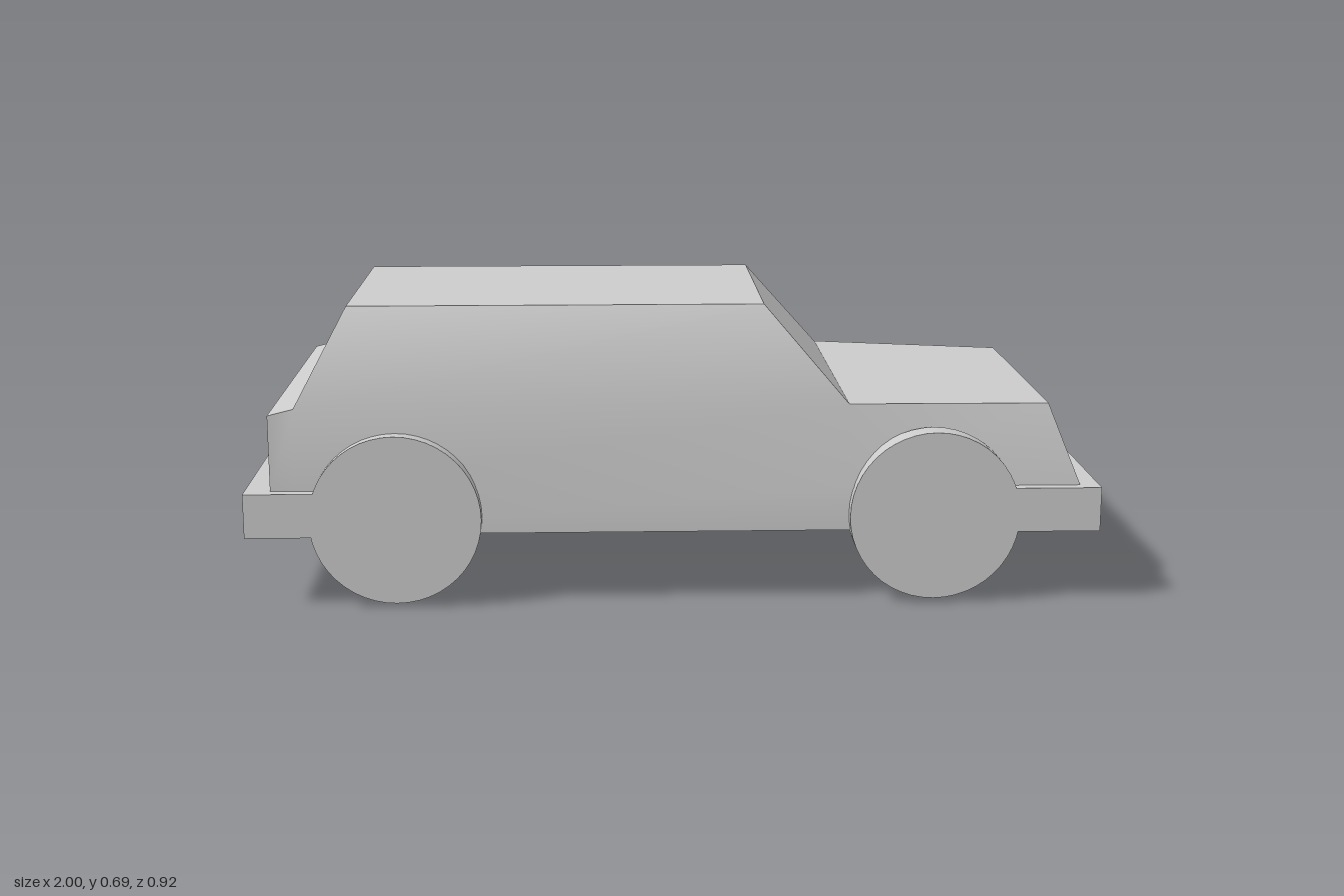
import * as THREE from 'three';
import { toCreasedNormals } from 'three/addons/utils/BufferGeometryUtils.js';

const grey = new THREE.MeshStandardMaterial({ color: 0xcccccc });

function addMesh(parent, name, geometry, x = 0, y = 0, z = 0) {
  const mesh = new THREE.Mesh(geometry, grey);
  mesh.name = name;
  mesh.position.set(x, y, z);
  parent.add(mesh);
  return mesh;
}

// Body shell: rows of side points (rear to nose), mirrored in z and bridged across
function shellGeometry() {
  const sill = [[-0.94, 0.17, 0.43], [-0.88, 0.17, 0.43], [0.41, 0.17, 0.43], [0.955, 0.17, 0.43]];
  const waist = sill.map(([x, , z]) => [x, 0.275, z]);
  const belt = [[-0.94, 0.455, 0.43], [-0.88, 0.47, 0.43], [0.41, 0.467, 0.4], [0.89, 0.455, 0.35]];
  const roof = [[-0.765, 0.69, 0.312], [0.215, 0.69, 0.312]];
  const positions = [];
  const mirror = ([x, y, z]) => [x, y, -z];
  const quad = (a, b, c, d) => positions.push(...a, ...b, ...c, ...a, ...c, ...d);
  const sidePair = (a, b, c, d) => {
    quad(a, b, c, d);
    quad(mirror(d), mirror(c), mirror(b), mirror(a));
  };

  // Flanks, then the cabin sides
  for (let i = 0; i < 3; i++) {
    sidePair(sill[i], sill[i + 1], waist[i + 1], waist[i]);
    sidePair(waist[i], waist[i + 1], belt[i + 1], belt[i]);
  }
  sidePair(belt[1], belt[2], roof[1], roof[0]);

  // Tail, rear window, roof, windscreen, bonnet, nose and floor
  const outline = [sill[0], waist[0], belt[0], belt[1], roof[0], roof[1], belt[2], belt[3], waist[3], sill[3]];
  outline.forEach((p, i) => {
    const q = outline[(i + 1) % outline.length];
    quad(p, q, mirror(q), mirror(p));
  });

  const geometry = new THREE.BufferGeometry();
  geometry.setAttribute('position', new THREE.Float32BufferAttribute(positions, 3));
  return toCreasedNormals(geometry, THREE.MathUtils.degToRad(33));
}

export function createModel() {
  const car = new THREE.Group();
  car.name = 'car';

  addMesh(car, 'bodyShell', shellGeometry());

  // Bumpers, with inner ends hidden behind the wheels
  addMesh(car, 'frontBumper', new THREE.BoxGeometry(0.22, 0.105, 0.916), 0.89, 0.2225, 0);
  addMesh(car, 'rearBumper', new THREE.BoxGeometry(0.2, 0.105, 0.916), -0.9, 0.2225, 0);

  // Disc wheels; the rear pair is slightly staggered
  const wheels = [
    ['frontRightWheel', 0.61, 0.21, 0.2, 1],
    ['frontLeftWheel', 0.61, 0.21, 0.2, -1],
    ['rearRightWheel', -0.65, 0.21, 0.2, 1],
    ['rearLeftWheel', -0.685, 0.2, 0.2, -1],
  ];
  for (const [name, x, y, radius, side] of wheels) {
    const wheel = addMesh(car, name, new THREE.CylinderGeometry(radius, radius, 0.06, 48), x, y, side * 0.43);
    wheel.rotation.x = Math.PI / 2;
  }

  return car;
}
